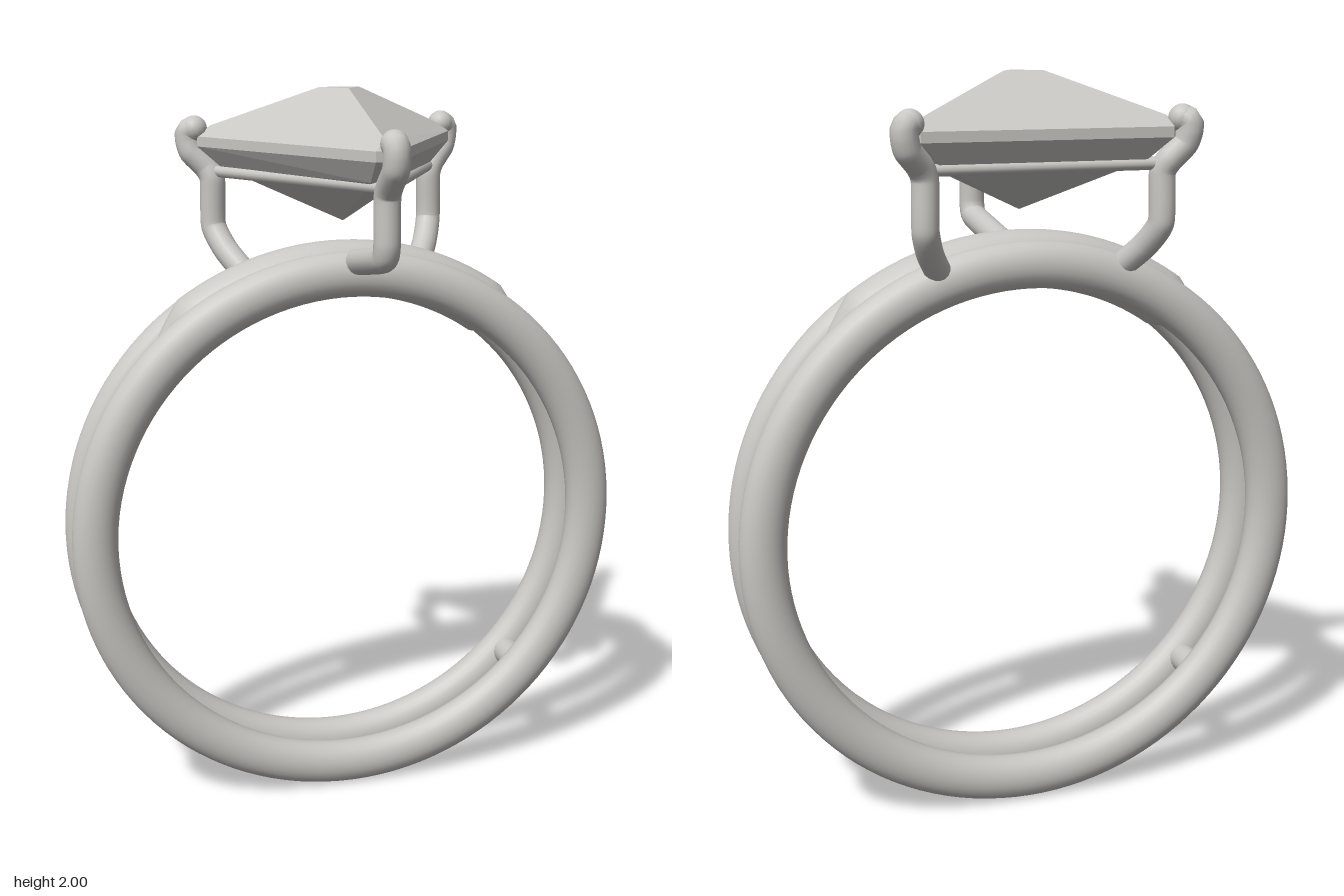
import * as THREE from 'three';
import { mergeVertices } from 'three/addons/utils/BufferGeometryUtils.js';

const CENTRE_Y = 0.787, MID_Z = -0.105, BAND_R = 0.7225;

export function createModel() {
  const root = new THREE.Group();
  root.name = 'ring';
  const metal = new THREE.MeshStandardMaterial({ color: 0xc9c7c3 });
  metal.name = 'pale silver';

  const add = (name, geometry, parent = root) => {
    const mesh = new THREE.Mesh(geometry, metal);
    mesh.name = name;
    parent.add(mesh);
    return mesh;
  };

  // Two parallel bands, slightly flattened along the finger
  for (const [name, z] of [['frontBand', -0.025], ['backBand', -0.184]]) {
    const band = add(name, new THREE.TorusGeometry(BAND_R, 0.0625, 24, 120));
    band.scale.z = 0.82;
    band.position.set(0, CENTRE_Y, z);
  }

  // Curved bridge between the bands, tapering to a point at both ends
  const bridge = new THREE.CylinderGeometry(1, 1, 2, 24, 40, true);
  const pos = bridge.attributes.position;
  for (let i = 0; i < pos.count; i++) {
    const t = pos.getY(i);
    const taper = Math.min(1, (1 - Math.abs(t)) / 0.3);
    const angle = t * THREE.MathUtils.degToRad(50);
    const r = BAND_R + 0.005 + pos.getX(i) * 0.078 * taper;
    pos.setXYZ(i, -Math.sin(angle) * r, CENTRE_Y + Math.cos(angle) * r, MID_Z + pos.getZ(i) * 0.075 * taper);
  }
  bridge.deleteAttribute('uv');
  bridge.deleteAttribute('normal');
  const smoothBridge = mergeVertices(bridge, 1e-5);
  smoothBridge.computeVertexNormals();
  add('bridge', smoothBridge);

  // Pegs joining the bands low on each side
  for (const side of [-1, 1]) {
    const peg = add('connectingPeg', new THREE.CylinderGeometry(0.04, 0.04, 0.12, 20));
    peg.rotation.x = Math.PI / 2;
    peg.position.set(side * 0.53, 0.3, MID_Z);
  }

  // Bent prongs with rounded tips
  const backPath = [
    [0.24, 1.49, -0.185], [0.285, 1.555, -0.25], [0.31, 1.62, -0.295], [0.31, 1.745, -0.295],
    [0.325, 1.78, -0.305], [0.362, 1.82, -0.33], [0.371, 1.85, -0.336], [0.371, 1.875, -0.336], [0.355, 1.884, -0.325],
  ];
  const paths = {
    frontProng: [
      [0.01, 1.54, -0.03], [0.01, 1.582, 0.215], [0.012, 1.595, 0.25], [0.012, 1.63, 0.262], [0.012, 1.745, 0.262],
      [0.012, 1.775, 0.28], [0.012, 1.82, 0.332], [0.012, 1.85, 0.34], [0.012, 1.875, 0.338], [0.012, 1.884, 0.32],
    ],
    leftBackProng: backPath,
    rightBackProng: backPath.map(([x, y, z]) => [-x - 0.012, y, y > 1.8 ? z + 0.015 : z]),
  };
  for (const [name, path] of Object.entries(paths)) {
    const prong = new THREE.Group();
    prong.name = name;
    root.add(prong);
    const points = path.map((p) => new THREE.Vector3(...p));
    const curve = new THREE.CatmullRomCurve3(points, false, 'catmullrom', 0.3);
    add('stem', new THREE.TubeGeometry(curve, 80, 0.035, 16), prong);
    for (const end of [points[0], points[points.length - 1]]) {
      add('roundedEnd', new THREE.SphereGeometry(0.036, 16, 12), prong).position.copy(end);
    }
  }

  // Thin triangular rail between the prongs
  const corners = [[0.31, -0.295], [-0.322, -0.295], [0.012, 0.262]].map(([x, z]) => new THREE.Vector3(x, 1.77, z));
  corners.forEach((a, i) => {
    const line = new THREE.LineCurve3(a, corners[(i + 1) % 3]);
    add('galleryRail', new THREE.TubeGeometry(line, 1, 0.016, 12));
  });

  add('gemstone', gemGeometry());
  return root;
}

// Faceted triangular stone, lofted through six-point sections from table to culet
function gemGeometry() {
  const doubled = (pts) => pts.flatMap((p) => [p, p]);
  const girdle = [[0.03, 0.3], [0.365, -0.285], [0.332, -0.34], [-0.332, -0.34], [-0.365, -0.285], [-0.03, 0.3]];
  // Start each section on the front corner pair
  const outline = [girdle[5], ...girdle.slice(0, 5)];
  const table = doubled([[0, -0.045], [0.055, -0.14], [-0.055, -0.14]]);
  const crown = doubled([[0, 0.275], [0.325, -0.298], [-0.325, -0.298]]);
  const inset = outline.map(([x, z]) => [x * 0.83, MID_Z + (z - MID_Z) * 0.85]);
  const single = (x, z) => Array(6).fill([x, z]);
  const sections = [
    [2, single(0, -0.108)], [2, table], [1.893, crown], [1.865, outline],
    [1.838, outline], [1.782, inset], [1.645, single(0, MID_Z)],
  ];
  const verts = [];
  const push = (...list) => list.forEach(([y, [x, z]]) => verts.push(x, y, z));
  for (let s = 0; s < sections.length - 1; s++) {
    const [y0, upper] = sections[s], [y1, lower] = sections[s + 1];
    for (let i = 0; i < 6; i++) {
      const j = (i + 1) % 6;
      push([y0, upper[i]], [y1, lower[i]], [y1, lower[j]]);
      push([y0, upper[i]], [y1, lower[j]], [y0, upper[j]]);
    }
  }
  const geometry = new THREE.BufferGeometry();
  geometry.setAttribute('position', new THREE.Float32BufferAttribute(verts, 3));
  geometry.computeVertexNormals();
  return geometry;
}
